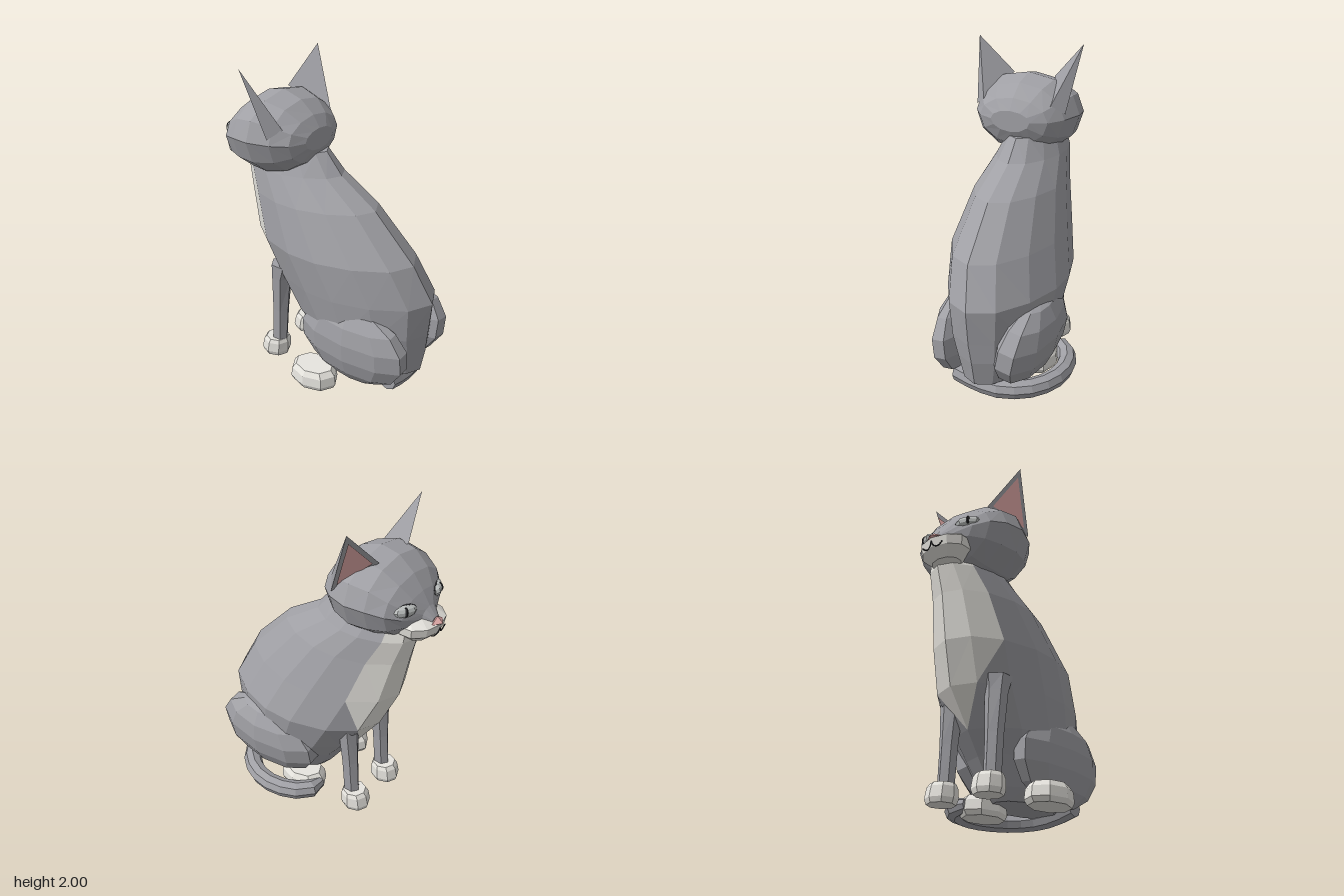
import * as THREE from 'three';

const mat = (name, color) => {
  const m = new THREE.MeshStandardMaterial({ color });
  m.name = name;
  return m;
};
const V = (x, y, z) => new THREE.Vector3(x, y, z);

// Faceted geometry from triangles; each list becomes one material group
function facets(...lists) {
  const g = new THREE.BufferGeometry().setFromPoints(lists.flat());
  let start = 0;
  lists.forEach((list, i) => {
    g.addGroup(start, list.length, i);
    start += list.length;
  });
  g.computeVertexNormals();
  return g;
}

// Skin over closed rings, capped at both ends. widths[i] is how many
// columns either side of the middle column take the second material.
function loft(rings, widths = []) {
  const base = [], patch = [], n = rings[0].length;
  for (let i = 0; i < rings.length - 1; i++) {
    for (let j = 0; j < n; j++) {
      const k = (j + 1) % n, first = j < n / 2;
      const a = rings[i][j], b = rings[i][k], c = rings[i + 1][k], d = rings[i + 1][j];
      const away = first ? n / 2 - 1 - j : j - n / 2, w = widths[i] ?? 0;
      (away + 0.5 <= w ? patch : base).push(...(first ? [a, c, b] : [a, d, b]));
      (away + 1 <= w ? patch : base).push(...(first ? [a, d, c] : [d, c, b]));
    }
  }
  for (const [ring, flip] of [[rings[0], false], [rings.at(-1), true]]) {
    const mid = ring.reduce((s, p) => s.add(p), V(0, 0, 0)).divideScalar(n);
    ring.forEach((p, j) => {
      const q = ring[(j + 1) % n];
      base.push(mid, flip ? q : p, flip ? p : q);
    });
  }
  return facets(base, patch);
}

// Horizontal rings from rows of [y, x centre, half width, back z, front z]
function stack(rows, n, point = 1) {
  return rows.map(([y, x, hw, zb, zf]) => Array.from({ length: n }, (_, j) => {
    const t = (j / n) * Math.PI * 2, c = Math.cos(t);
    const cz = c > 0 ? c ** point : c;
    return V(x + hw * Math.sin(t), y, (zb + zf) / 2 + ((zb - zf) / 2) * cz);
  }));
}

function flat(geometry) {
  const g = geometry.index ? geometry.toNonIndexed() : geometry;
  g.computeVertexNormals();
  return g;
}

export function createModel() {
  const cat = new THREE.Group();
  cat.name = 'sittingCat';
  const grey = mat('greyFur', 0xa0a0a5);
  const white = mat('whiteFur', 0xebe9e3);
  const pink = mat('pinkSkin', 0xe4acaa);
  const dark = mat('darkLine', 0x2b2b2e);
  const iris = mat('paleIris', 0xbec1c0);

  const add = (name, geometry, material, parent = cat) => {
    const m = new THREE.Mesh(geometry, material);
    m.name = name;
    parent.add(m);
    return m;
  };

  // Body with a pale bib tapering to a point
  const bodyRows = [
    [1.46, -0.04, 0.15, -0.02, -0.60],
    [1.33, -0.04, 0.21, 0.09, -0.60],
    [1.17, -0.045, 0.265, 0.34, -0.56],
    [0.89, -0.035, 0.33, 0.61, -0.51],
    [0.65, 0.01, 0.35, 0.725, -0.41],
    [0.43, 0.01, 0.32, 0.705, -0.255],
    [0.30, 0.02, 0.28, 0.69, -0.15],
    [0.14, 0.02, 0.22, 0.66, -0.04],
    [0.07, 0.02, 0.15, 0.54, 0.02],
  ];
  add('body', loft(stack(bodyRows, 14, 1.35), [2, 2, 2, 1.5, 0.5]), [grey, white]);

  // Head: rings of [z, y centre, half width, height above, depth below]
  const hx = -0.09;
  const headRows = [
    [-0.035, 1.56, 0.13, 0.06, 0.07],
    [-0.08, 1.56, 0.23, 0.13, 0.16],
    [-0.17, 1.565, 0.30, 0.20, 0.23],
    [-0.30, 1.57, 0.345, 0.235, 0.27],
    [-0.42, 1.565, 0.325, 0.215, 0.26],
    [-0.52, 1.545, 0.28, 0.155, 0.21],
    [-0.585, 1.515, 0.20, 0.10, 0.12],
    [-0.635, 1.48, 0.075, 0.055, 0.05],
    [-0.68, 1.46, 0.035, 0.02, 0.02],
  ];
  add('head', loft(headRows.map(([z, y, hw, up, down]) =>
    Array.from({ length: 12 }, (_, j) => {
      const t = (j / 12) * Math.PI * 2, s = Math.sin(t);
      return V(hx + hw * Math.cos(t), y + (s > 0 ? up : down) * s, z);
    }))), [grey, white]);

  // Muzzle and nose
  add('muzzle', loft(stack([
    [1.495, hx, 0.12, -0.50, -0.635],
    [1.445, hx, 0.168, -0.46, -0.715],
    [1.39, hx, 0.16, -0.46, -0.705],
    [1.335, hx, 0.095, -0.50, -0.65],
  ], 10)), [white, white]);
  const nose = add('nose', flat(new THREE.OctahedronGeometry(1).scale(0.055, 0.032, 0.038)), pink);
  nose.position.set(hx, 1.455, -0.69);

  for (const s of [1, -1]) {
    const side = s > 0 ? 'left' : 'right';
    const P = (x, y, z) => V(hx + s * x, y, z);
    const tri = (a, b, c) => (s > 0 ? [a, b, c] : [a, c, b]);

    // Ear: a three-sided spike with a pink inset on its outward face
    const tip = P(0.352, 2.0, -0.32), inner = P(0.14, 1.775, -0.385);
    const back = P(0.225, 1.65, -0.125), outer = P(0.30, 1.60, -0.18);
    add(side + 'Ear', facets([
      ...tri(tip, outer, inner), ...tri(tip, inner, back), ...tri(tip, back, outer),
    ]), grey);
    const mid = tip.clone().add(inner).add(outer).divideScalar(3);
    const inset = [tip, outer, inner].map(p => p.clone().lerp(mid, 0.26).add(V(s * 0.004, 0, -0.005)));
    add(side + 'InnerEar', facets(tri(...inset)), pink);

    // Eye: thin dark rim, pale iris, upright pupil
    const eye = new THREE.Group();
    eye.name = side + 'Eye';
    eye.position.copy(P(0.16, 1.555, -0.57));
    eye.rotation.set(0.2, -s * 0.5, s * 0.12);
    for (const [name, m, r, z] of [
      ['Rim', dark, [0.082, 0.04, 0.028], 0],
      ['Iris', iris, [0.078, 0.037, 0.034], -0.006],
      ['Pupil', dark, [0.014, 0.03, 0.018], -0.026],
    ]) {
      add(side + name, flat(new THREE.SphereGeometry(1, 8, 6).scale(...r)), m, eye).position.z = z;
    }
    cat.add(eye);

    // Mouth line
    const curve = new THREE.CatmullRomCurve3([
      P(0, 1.425, -0.714), P(0.012, 1.395, -0.708), P(0.045, 1.385, -0.70), P(0.075, 1.405, -0.70),
    ]);
    add(side + 'MouthLine', new THREE.TubeGeometry(curve, 8, 0.004, 4), dark);

    // Front leg and paw
    const x = s > 0 ? 0.13 : -0.205;
    add(side + 'FrontLeg', loft(stack([
      [0.70, x, 0.08, -0.15, -0.33],
      [0.60, x, 0.07, -0.195, -0.325],
      [0.35, x, 0.052, -0.22, -0.335],
      [0.09, x, 0.047, -0.24, -0.35],
    ], 6)), [grey, white]);
    add(side + 'FrontPaw', loft(stack([
      [0.12, x, 0.075, -0.24, -0.39],
      [0.095, x, 0.087, -0.23, -0.41],
      [0.03, x, 0.092, -0.23, -0.425],
      [0, x, 0.08, -0.24, -0.415],
    ], 8)), [white, white]);

    // Haunch, leaning outwards at the top
    const [hipX, hipY, hipR, lean] = s > 0 ? [0.225, 0.35, 0.167, -0.2] : [-0.21, 0.325, 0.13, 0.08];
    const haunch = add(side + 'Haunch',
      flat(new THREE.SphereGeometry(1, 10, 7).scale(hipR, 0.275, 0.395)), grey);
    haunch.position.set(hipX, hipY, 0.31);
    haunch.rotation.z = lean;

    // Hind paw
    const px = s > 0 ? 0.17 : -0.31;
    add(side + 'HindPaw', loft(stack([
      [0.125, px, 0.1, 0.21, -0.05],
      [0.09, px, 0.12, 0.24, -0.08],
      [0.03, px, 0.125, 0.245, -0.09],
      [0, px, 0.11, 0.23, -0.07],
    ], 8)), [white, white]);
  }

  // Tail curled round the left hind paw, narrowing at its tip
  const path = new THREE.CatmullRomCurve3([
    V(-0.17, 0.11, 0.54), V(-0.03, 0.075, 0.54), V(0.14, 0.064, 0.53), V(0.30, 0.062, 0.43),
    V(0.385, 0.062, 0.25), V(0.365, 0.062, 0.07), V(0.28, 0.062, -0.05), V(0.17, 0.062, -0.065),
  ]);
  const tailRings = path.getSpacedPoints(12).map((p, i) => {
    const dir = path.getTangentAt(i / 12), out = V(-dir.z, 0, dir.x).normalize();
    const r = i === 12 ? 0.035 : 0.06;
    return Array.from({ length: 8 }, (_, j) => {
      const t = (j / 8) * Math.PI * 2;
      return p.clone().addScaledVector(out, r * Math.cos(t)).add(V(0, r * Math.sin(t), 0));
    });
  });
  add('tail', loft(tailRings), [grey, white]);

  return cat;
}
